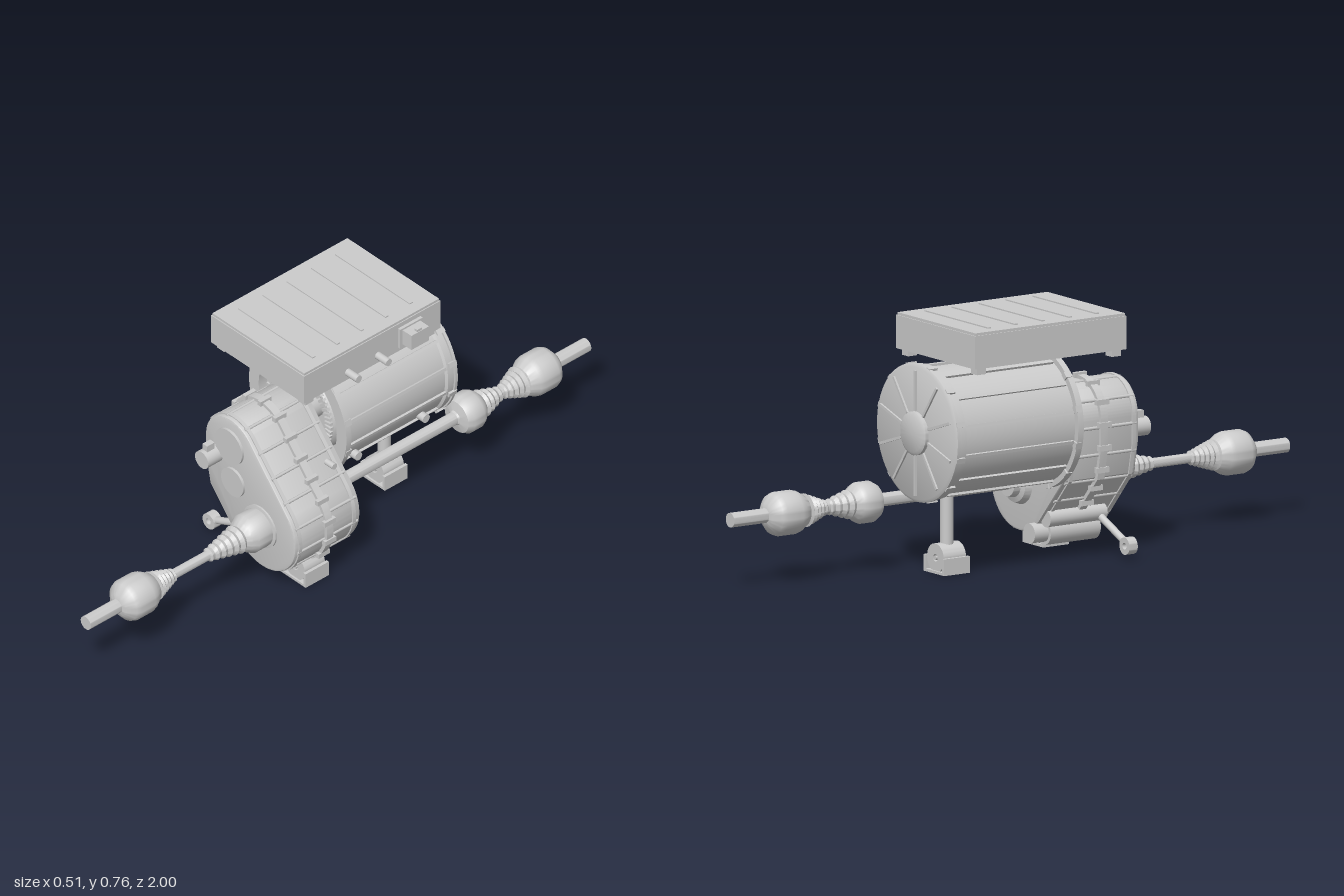
import * as THREE from 'three';
import { toCreasedNormals } from 'three/addons/utils/BufferGeometryUtils.js';

const mat = new THREE.MeshStandardMaterial({ color: 0xcccccc });
const MX = -0.042, MY = 0.43;   // motor axis
const AX = 0.092, AY = 0.212;   // axle axis

export function createModel() {
  const root = new THREE.Group();

  function add(name, geo, x = 0, y = 0, z = 0, parent = root) {
    const m = new THREE.Mesh(geo, mat);
    m.name = name;
    m.position.set(x, y, z);
    parent.add(m);
    return m;
  }
  function group(name, x = 0, y = 0, z = 0) {
    const g = new THREE.Group();
    g.name = name;
    g.position.set(x, y, z);
    root.add(g);
    return g;
  }
  // box given by its limits
  const block = (name, x0, x1, y0, y1, z0, z1, parent) =>
    add(name, new THREE.BoxGeometry(x1 - x0, y1 - y0, z1 - z0), (x0 + x1) / 2, (y0 + y1) / 2, (z0 + z1) / 2, parent);
  // cylinder along z between z0 and z1
  const rod = (name, x, y, r, z0, z1, parent, n = 32) =>
    add(name, new THREE.CylinderGeometry(r, r, z1 - z0, n).rotateX(Math.PI / 2), x, y, (z0 + z1) / 2, parent);
  // turned part along z from [radius, z] pairs with rising z on the outside
  const turned = (name, pts, x, y, parent, n = 64) => {
    const g = new THREE.LatheGeometry(pts.map(p => new THREE.Vector2(p[0], p[1])), n).rotateX(Math.PI / 2);
    return add(name, toCreasedNormals(g, 0.6), x, y, 0, parent);
  };
  // cylinder between two points
  const bar = (name, a, b, r, parent) => {
    const va = new THREE.Vector3(...a), d = new THREE.Vector3(...b).sub(va);
    const m = add(name, new THREE.CylinderGeometry(r, r, d.length(), 24), 0, 0, 0, parent);
    m.position.copy(va).addScaledVector(d, 0.5);
    m.quaternion.setFromUnitVectors(new THREE.Vector3(0, 1, 0), d.normalize());
    return m;
  };

  // motor housing, open at the front
  const motor = group('motor', MX, MY);
  turned('motorHousing', [
    [0, -0.41], [0.195, -0.41], [0.203, -0.408], [0.203, -0.385], [0.195, -0.38],
    [0.195, 0.01], [0.212, 0.01], [0.212, 0.03], [0.17, 0.03], [0.17, -0.03], [0, -0.03],
  ], 0, 0, motor, 80);
  turned('rearCover', [[0, -0.425], [0.198, -0.425], [0.207, -0.42], [0.207, -0.41], [0, -0.41]], 0, 0, motor, 80);
  turned('rearHub', [[0, -0.442], [0.055, -0.442], [0.065, -0.436], [0.065, -0.42]], 0, 0, motor);
  turned('stator', [[0.115, -0.03], [0.145, -0.03], [0.145, 0], [0.135, 0.02], [0.12, 0.02], [0.115, 0.01], [0.115, -0.03]], 0, 0, motor);
  rod('rotorShaft', 0, 0, 0.05, -0.03, 0.06, motor);

  // items set around the motor axis: depth in radius, width, length along z
  function ringOf(name, count, r, h, w, len, z, phase = 0) {
    for (let i = 0; i < count; i++) {
      const a = (i + phase) / count * Math.PI * 2;
      const m = add(name, new THREE.BoxGeometry(h, w, len), Math.cos(a) * r, Math.sin(a) * r, z, motor);
      m.rotation.z = a;
    }
  }
  ringOf('windingTooth', 54, 0.127, 0.026, 0.008, 0.012, 0.022);
  ringOf('housingRib', 14, 0.195, 0.014, 0.01, 0.39, -0.19, 0.5);
  ringOf('coverRib', 10, 0.128, 0.12, 0.008, 0.008, -0.427, 0.5);
  ringOf('flangeLug', 12, 0.206, 0.016, 0.02, 0.022, 0.016, 0.5);
  ringOf('rearLug', 12, 0.204, 0.012, 0.016, 0.03, -0.405, 0.5);
  for (const i of [-1, 0, 1]) {
    block('busbar', i * 0.024 - 0.009, i * 0.024 + 0.009, 0.13, 0.172, 0.012, 0.026, motor);
    block('terminal', i * 0.026 - 0.01, i * 0.026 + 0.01, 0.195, 0.217, -0.01, 0.03, motor);
  }
  for (const z of [-0.035, -0.305]) {
    bar('coolantPort', [0.13, -0.1, z], [0.195, -0.1, z], 0.014, motor);
  }

  // power electronics box
  const box = group('inverter');
  block('inverterCase', -0.245, 0.16, 0.645, 0.745, -0.355, 0.19, box);
  block('inverterLid', -0.242, 0.157, 0.745, 0.753, -0.352, 0.187, box);
  for (let i = 0; i < 5; i++) {
    const z = -0.275 + i * 0.097;
    block('lidRib', -0.205, 0.12, 0.752, 0.757, z - 0.006, z + 0.006, box);
  }
  for (const x of [-0.219, 0.134]) for (const z of [-0.325, 0.16]) {
    block('caseFoot', x - 0.016, x + 0.016, 0.625, 0.646, z - 0.016, z + 0.016, box);
  }
  block('connectorBase', 0.158, 0.17, 0.66, 0.73, -0.275, -0.185, box);
  block('connector', 0.165, 0.208, 0.672, 0.724, -0.265, -0.195, box);
  block('connectorLatch', 0.195, 0.206, 0.722, 0.732, -0.24, -0.22, box);
  for (const z of [0.015, -0.105]) bar('boxPort', [0.15, 0.672, z], [0.208, 0.672, z], 0.012, box);

  // gearbox outline grown by o
  function outline(o) {
    const s = new THREE.Shape();
    s.absarc(0.095, 0.21, 0.146 + o, 3.86, 0.738 + Math.PI * 2, false);
    s.absarc(MX, 0.42, 0.108 + o, 0.738, Math.PI, false);
    s.lineTo(-0.15 - o, 0.34);
    s.lineTo(-0.131 - o, 0.245 - o / 2);
    s.closePath();
    return s;
  }
  const gearbox = group('gearbox');
  function slab(name, o, z0, z1, bevel = 0) {
    const g = new THREE.ExtrudeGeometry(outline(o - bevel), {
      depth: z1 - z0 - 2 * bevel, bevelEnabled: bevel > 0, bevelSize: bevel, bevelThickness: bevel,
      bevelSegments: 2, curveSegments: 28,
    });
    add(name, toCreasedNormals(g, 0.5), 0, 0, z0 + bevel, gearbox);
  }
  slab('gearCase', 0, 0.04, 0.3, 0.006);
  slab('caseFlange', 0.011, 0.157, 0.182);
  slab('frontLip', 0.004, 0.275, 0.287);
  slab('rearLip', 0.004, 0.06, 0.072);
  for (const p of outline(0.01).getSpacedPoints(20)) {
    block('flangeLug', p.x - 0.007, p.x + 0.007, p.y - 0.008, p.y + 0.008, 0.148, 0.192, gearbox);
  }
  // lengthwise ribs on the case
  for (const p of outline(0).getSpacedPoints(16)) {
    rod('caseRib', p.x, p.y, 0.005, 0.05, 0.29, gearbox, 8);
  }
  rod('motorShaftCap', MX, 0.432, 0.06, 0.29, 0.308, gearbox, 48);
  rod('gearCap', -0.025, 0.31, 0.048, 0.29, 0.308, gearbox, 48);
  turned('frontSeal', [[0.07, 0.29], [0.07, 0.306], [0.05, 0.31]], AX, AY, gearbox);
  turned('rearBoss', [[0, -0.005], [0.04, -0.005], [0.045, 0.015], [0.06, 0.02], [0.07, 0.045]], AX, AY, gearbox);
  rod('pump', -0.103, 0.375, 0.029, 0.29, 0.358, gearbox);
  block('pumpPlug', -0.113, -0.093, 0.395, 0.424, 0.315, 0.345, gearbox);
  bar('breather', [0.16, 0.385, 0.1], [0.195, 0.385, 0.1], 0.01, gearbox);

  // half shafts with pleated boots
  const axle = group('axle', AX, AY);
  // pleated cone from radius r0 at z0 to r1 at z1
  function pleats(z0, z1, r0, r1, n) {
    const out = [];
    for (let i = 0; i <= 2 * n; i++) {
      const t = i / (2 * n);
      out.push([(r0 + (r1 - r0) * t) * (i % 2 ? 0.82 : 1), z0 + (z1 - z0) * t]);
    }
    return out;
  }
  const bulb = (z0, z1) => [[0.03, z0], [0.046, z0 + 0.004], [0.062, z0 + 0.03],
    [0.066, z0 + 0.045], [0.066, z1 - 0.04], [0.06, z1 - 0.025], [0.035, z1 - 0.004], [0.022, z1]];
  turned('frontHalfShaft', [
    [0, 0.28], [0.056, 0.28], [0.062, 0.315], [0.062, 0.36], [0.052, 0.375],
    ...pleats(0.38, 0.51, 0.05, 0.022, 6), [0.015, 0.515], [0.015, 0.65],
    ...pleats(0.655, 0.73, 0.022, 0.046, 5), ...bulb(0.735, 0.875), [0.022, 1], [0, 1],
  ], 0, 0, axle, 48);
  turned('rearHalfShaft', [
    [0, -1], [0.022, -1], ...bulb(0.735, 0.875).reverse().map(p => [p[0], -p[1]]),
    ...pleats(-0.73, -0.665, 0.05, 0.025, 4), [0.02, -0.66], [0.02, -0.65],
    ...pleats(-0.645, -0.56, 0.025, 0.05, 4), [0.056, -0.553], [0.062, -0.54], [0.062, -0.5], [0.052, -0.482],
    [0.024, -0.475], [0.02, -0.47], [0.02, 0.03],
  ], 0, 0, axle, 48);

  // U brackets with a bushing
  function mount(name, x, z) {
    const g = group(name, x, 0, z);
    block('bracketBase', -0.053, 0.053, 0.002, 0.01, -0.046, 0.046, g);
    for (const s of [-1, 1]) block('bracketWall', s * 0.048 - 0.005, s * 0.048 + 0.005, 0.002, 0.052, -0.046, 0.046, g);
    const ring = new THREE.Shape().absarc(0, 0, 0.043, 0, Math.PI * 2, false);
    ring.holes.push(new THREE.Path().absarc(0, 0, 0.011, 0, Math.PI * 2, true));
    const geo = new THREE.ExtrudeGeometry(ring, { depth: 0.08, bevelEnabled: false, curveSegments: 24 });
    add('bushing', toCreasedNormals(geo, 0.5), 0, 0.048, -0.04, g);
    rod('bolt', 0, 0.048, 0.007, -0.042, 0.042, g, 6);
  }
  mount('frontMount', 0.148, 0.175);
  mount('rearMount', MX, -0.315);
  bar('rearMountPost', [MX, 0.07, -0.315], [MX, 0.26, -0.315], 0.02);

  // torque link and actuator below the gearbox
  const link = group('torqueLink');
  bar('linkArm', [-0.03, 0.115, 0.235], [-0.172, 0.051, 0.235], 0.011, link);
  const eye = new THREE.Shape().absarc(0, 0, 0.026, 0, Math.PI * 2, false);
  eye.holes.push(new THREE.Path().absarc(0, 0, 0.01, 0, Math.PI * 2, true));
  const eyeGeo = new THREE.ExtrudeGeometry(eye, { depth: 0.03, bevelEnabled: false, curveSegments: 20 });
  add('linkEye', toCreasedNormals(eyeGeo, 0.5), -0.191, 0.042, 0.22, link);
  rod('linkPivot', -0.03, 0.118, 0.026, 0.05, 0.255, link);
  rod('actuator', 0.012, 0.07, 0.04, 0.07, 0.25, link);
  rod('actuatorCap', 0.012, 0.07, 0.03, 0.02, 0.07, link);

  return root;
}
